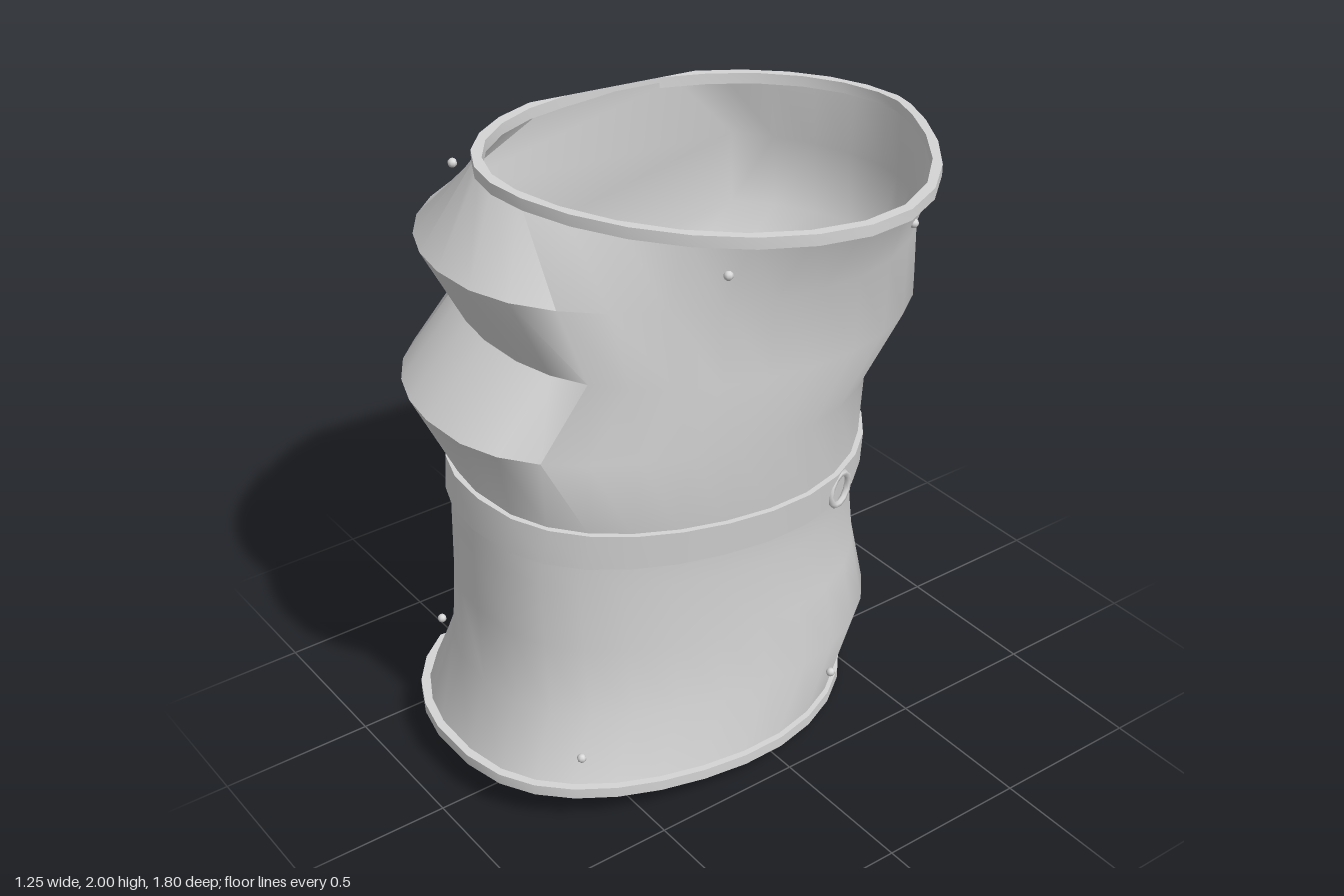
import * as THREE from 'three';
import { toCreasedNormals } from 'three/addons/utils/BufferGeometryUtils.js';

const STEPS = 24, SIDES = STEPS + 1, CENTRE_X = -0.12, FLAT_X = -0.625;

// Tilted cross-sections: front y, front z, fold depth, back y, back z, right x, left radius,
// right-side power, front-left power, back-left power
const SECTIONS = [
  [1.98, 0.60, 0.00, 1.872, -0.88, 0.60, 0.53, 1.3, 0.95, 0.95],
  [1.765, 0.70, 0.10, 1.65, -0.86, 0.49, 0.67, 1.05, 0.85, 0.93],
  [1.51, 0.73, -0.07, 1.40, -0.87, 0.475, 0.67, 1, 0.85, 0.93],
  [1.30, 0.75, 0.12, 1.19, -0.66, 0.46, 0.67, 0.95, 0.82, 1.1],
  [1.03, 0.74, 0.00, 0.925, -0.66, 0.42, 0.56, 0.95, 0.87, 1.25],
  [0.91, 0.75, 0.00, 0.81, -0.66, 0.405, 0.55, 0.95, 0.87, 1.25],
  [0.82, 0.755, 0.00, 0.72, -0.64, 0.40, 0.55, 0.95, 0.87, 1.25],
  [0.60, 0.76, 0.00, 0.48, -0.67, 0.40, 0.56, 0.95, 0.87, 1.25],
  [0.36, 0.78, 0.00, 0.25, -0.72, 0.415, 0.58, 0.92, 0.87, 1.25],
  [0.14, 0.88, 0.00, 0.02, -0.585, 0.44, 0.605, 0.9, 0.85, 1.2],
];

// One loop of points, optionally grown outward and shifted up.
// It runs round from one corner of the flat side to the other.
function sectionLoop([yF, zF, fold, yB, zB, xR, rL, power, frontLeft, backLeft], grow = 0, dy = 0) {
  const zc = (zF + zB) / 2, rz = (zF - zB) / 2 + grow;
  const corner = Math.acos(Math.max(-1, (FLAT_X - CENTRE_X) / (rL + grow)));
  const loop = [];
  for (let j = 0; j <= STEPS; j++) {
    const a = corner * ((2 * j) / STEPS - 1), c = Math.cos(a), s = Math.sin(a);
    // the right side is fuller in front than behind
    const x = c > 0
      ? CENTRE_X + (xR - CENTRE_X + grow) * Math.pow(c, power + (s > 0 ? -0.18 : 0.25))
      : CENTRE_X + (rL + grow) * c;
    // folds fade out towards the right side
    const weight = s > 0 ? Math.pow(s, c > 0 ? 2.1 : 0.65) : 0;
    const bulge = c > 0 ? s : Math.sign(s) * Math.pow(Math.abs(s), s > 0 ? frontLeft : backLeft);
    const z = zc + rz * bulge + fold * weight;
    const y = yF + ((yB - yF) * (zF - z)) / (zF - zB) + dy;
    loop.push([x, y, z]);
  }
  return loop;
}

// Skin a list of loops, first to last
function loft(loops, crease) {
  const index = [];
  for (let i = 0; i < loops.length - 1; i++) {
    for (let j = 0; j < SIDES; j++) {
      const k = (j + 1) % SIDES;
      const a = i * SIDES + j, b = i * SIDES + k;
      const c = a + SIDES, d = b + SIDES;
      index.push(a, b, c, b, d, c);
    }
  }
  const g = new THREE.BufferGeometry();
  g.setAttribute('position', new THREE.Float32BufferAttribute(loops.flat(2), 3));
  g.setIndex(index);
  return toCreasedNormals(g, crease);
}

// Closed band of rectangular profile running around the sleeve
function band(top, bottom, outer, inner, half) {
  return loft([
    sectionLoop(top, outer, half), sectionLoop(bottom, outer, -half),
    sectionLoop(bottom, inner, -half), sectionLoop(top, inner, half),
    sectionLoop(top, outer, half),
  ], 0.6);
}

export function createModel() {
  const group = new THREE.Group();
  const metal = new THREE.MeshStandardMaterial({ color: 0xd4d4d4, side: THREE.DoubleSide });
  metal.name = 'grey metal';
  const add = (name, geometry) => {
    const mesh = new THREE.Mesh(geometry, metal);
    mesh.name = name;
    group.add(mesh);
    return mesh;
  };

  // Folded open tube, flattened on one side
  add('sleeve', loft(SECTIONS.map((s) => sectionLoop(s)), 0.95));

  // Rims at both openings and the belt round the waist
  const first = SECTIONS[0], last = SECTIONS[SECTIONS.length - 1];
  add('topRim', band(first, first, 0.02, -0.012, 0.018));
  add('bottomRim', band(last, last, 0.02, -0.012, 0.018));
  add('belt', band(SECTIONS[4], SECTIONS[5], 0.018, -0.004, 0));

  // Round buckle on the belt
  const ring = add('beltRing', new THREE.TorusGeometry(0.054, 0.011, 6, 12));
  ring.position.set(0.355, 0.885, -0.29);
  ring.rotation.y = Math.PI / 2 + 0.35;

  // Rivets near both openings
  [
    [-0.57, 1.87, 0.49], [0.465, 1.84, 0.24], [0.43, 1.78, -0.47], [-0.5, 1.8, -0.73],
    [-0.58, 0.24, 0.64], [0.29, 0.23, 0.66], [0.35, 0.16, -0.29], [-0.61, 0.17, -0.2],
  ].forEach((p) => add('rivet', new THREE.SphereGeometry(0.015, 8, 6)).position.set(...p));

  return group;
}
